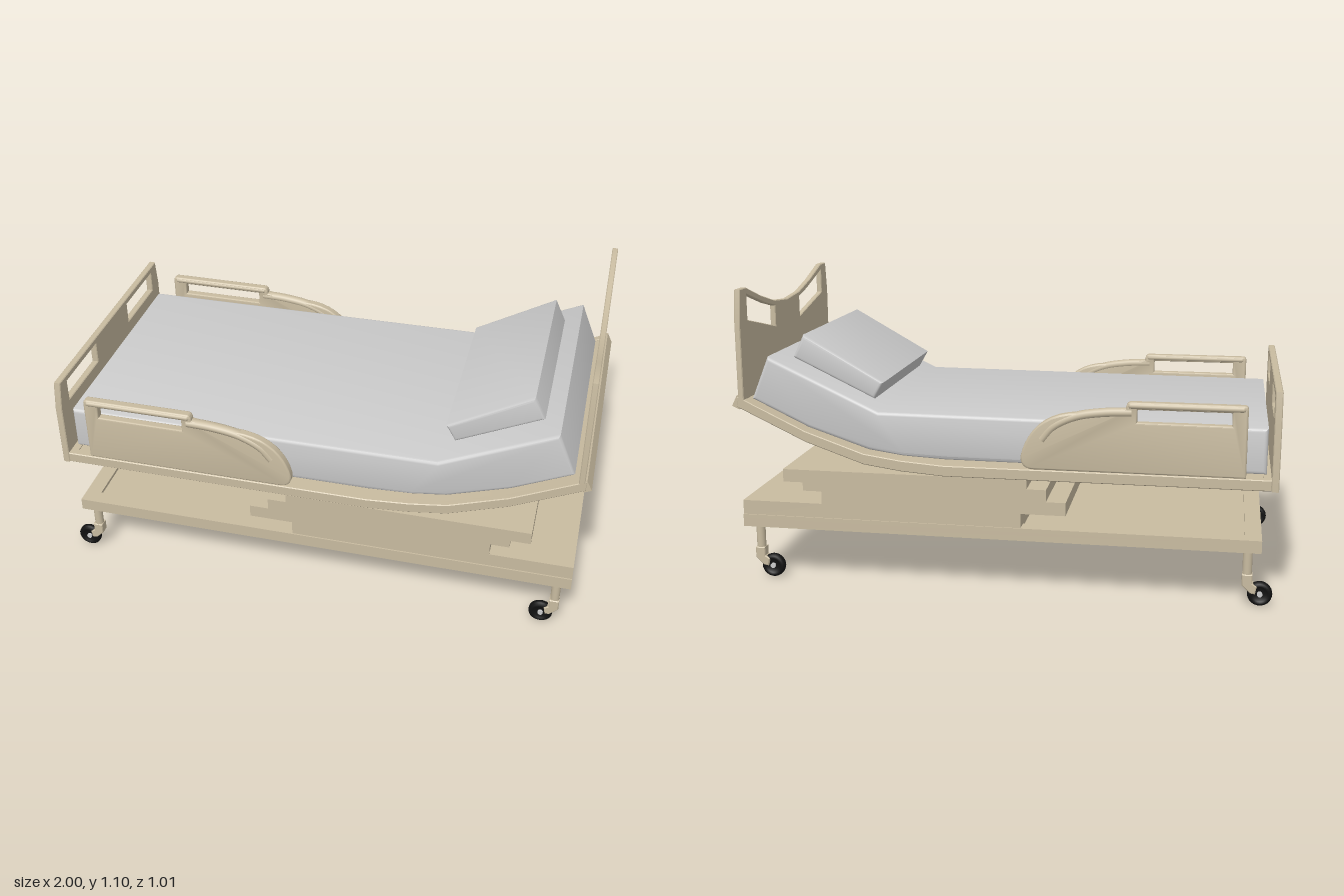
import * as THREE from 'three';
import { toCreasedNormals } from 'three/addons/utils/BufferGeometryUtils.js';

const tan = new THREE.MeshStandardMaterial({ color: 0xc8bba0 });
const grey = new THREE.MeshStandardMaterial({ color: 0xcccccc });
const black = new THREE.MeshStandardMaterial({ color: 0x111111 });

const toShape = (pts) => new THREE.Shape(pts.map(([x, y]) => new THREE.Vector2(x, y)));

// Extrude a side profile along z, centred, with a bevel kept inside the outline
function slab(shape, width, bevel = 0, segments = 1) {
  const g = new THREE.ExtrudeGeometry(shape, {
    depth: width - 2 * bevel, bevelEnabled: bevel > 0, bevelThickness: bevel,
    bevelSize: bevel, bevelOffset: -bevel, bevelSegments: segments, curveSegments: 10,
  });
  g.translate(0, 0, -width / 2 + bevel);
  return toCreasedNormals(g, 0.6);
}

function add(parent, name, geometry, material, x = 0, y = 0, z = 0) {
  const m = new THREE.Mesh(geometry, material);
  m.name = name;
  m.position.set(x, y, z);
  parent.add(m);
  return m;
}

// Box given by its limits in x and y, and centre and width in z
function bar(parent, name, x0, x1, y0, y1, z, width) {
  return add(parent, name, new THREE.BoxGeometry(x1 - x0, y1 - y0, width), tan, (x0 + x1) / 2, (y0 + y1) / 2, z);
}

// End board drawn as half an outline in (z, y), mirrored, with a grip hole on each side
function endBoard(parent, name, half, hole, x, thickness) {
  const mirror = (pts) => pts.map(([z, y]) => [-z, y]).reverse();
  const shape = toShape([...half, ...mirror(half)]);
  shape.holes.push(toShape(hole), toShape(mirror(hole)));
  add(parent, name, slab(shape, thickness, 0.003).rotateY(-Math.PI / 2), tan, x);
}

function caster(x, z) {
  const g = new THREE.Group();
  g.name = 'caster';
  g.position.set(x, 0, z);
  add(g, 'casterStem', new THREE.CylinderGeometry(0.017, 0.017, 0.1, 16), tan, 0, 0.16, 0);
  const fork = [[-0.019, 0.118], [-0.019, 0.085], [-0.036, 0.074], [-0.03, 0.045], [-0.012, 0.048], [0.018, 0.078], [0.018, 0.118]];
  add(g, 'casterFork', slab(toShape(fork), 0.038, 0.003), tan);
  // Tyre with rounded tread and a dished face
  const r = [[0.008, -0.008], [0.024, -0.008], [0.028, -0.014], [0.038, -0.014], [0.044, -0.008],
    [0.045, 0], [0.044, 0.008], [0.038, 0.014], [0.028, 0.014], [0.024, 0.008], [0.008, 0.008]];
  const tyre = new THREE.LatheGeometry(r.map((p) => new THREE.Vector2(...p)), 28).rotateX(Math.PI / 2);
  add(g, 'wheel', tyre, black, -0.047, 0.045, 0);
  add(g, 'wheelHub', new THREE.CylinderGeometry(0.01, 0.01, 0.032, 14).rotateX(Math.PI / 2), grey, -0.047, 0.045, 0);
  return g;
}

function sideRail(side) {
  const g = new THREE.Group();
  g.name = side > 0 ? 'leftSideRail' : 'rightSideRail';
  // Panel with a curved end and a grip slot
  const s = new THREE.Shape();
  s.moveTo(-0.885, 0.475);
  s.lineTo(-0.125, 0.475);
  s.quadraticCurveTo(-0.08, 0.48, -0.085, 0.525);
  s.bezierCurveTo(-0.1, 0.6, -0.16, 0.69, -0.3, 0.69);
  s.lineTo(-0.46, 0.71);
  s.quadraticCurveTo(-0.46, 0.735, -0.48, 0.735);
  s.lineTo(-0.87, 0.735);
  s.quadraticCurveTo(-0.885, 0.735, -0.885, 0.72);
  s.closePath();
  s.holes.push(toShape([[-0.83, 0.662], [-0.5, 0.662], [-0.5, 0.708], [-0.83, 0.708]]));
  add(g, 'railPanel', slab(s, 0.034, 0.007, 3), tan, 0, 0, side * 0.484);
  // Hand grip along the top and the sloping arm beyond it
  const grip = new THREE.CapsuleGeometry(0.014, 0.39, 4, 12).rotateZ(Math.PI / 2).scale(1, 1, 1.5);
  add(g, 'railGrip', grip, tan, -0.672, 0.721, side * 0.485);
  const path = new THREE.CatmullRomCurve3([[-0.48, 0.695], [-0.38, 0.69], [-0.28, 0.672], [-0.2, 0.632], [-0.16, 0.585]]
    .map(([x, y]) => new THREE.Vector3(x, y, 0)));
  add(g, 'railArm', new THREE.TubeGeometry(path, 24, 0.018, 10).scale(1, 1, 1.15), tan, 0, 0, side * 0.485);
  return g;
}

export function createModel() {
  const bed = new THREE.Group();
  bed.name = 'adjustableBed';

  // Wheeled base: plate with a raised rim
  bar(bed, 'basePlate', -0.95, 0.975, 0.205, 0.24, 0, 1.01);
  for (const s of [-1, 1]) bar(bed, 'baseSideRim', -0.95, 0.975, 0.238, 0.252, s * 0.475, 0.06);
  bar(bed, 'baseFootRim', -0.95, -0.89, 0.238, 0.252, 0, 0.9);
  bar(bed, 'baseHeadRim', 0.915, 0.975, 0.238, 0.252, 0, 0.9);
  for (const x of [-0.903, 0.922]) for (const z of [-0.47, 0.47]) bed.add(caster(x, z));

  // Stepped lifting body
  const lift = [[-0.085, 0.24], [0.975, 0.24], [0.975, 0.306], [0.667, 0.306], [0.667, 0.354], [0.738, 0.354],
    [0.738, 0.386], [0.813, 0.386], [0.813, 0.434], [-0.107, 0.434], [-0.107, 0.4], [-0.178, 0.4],
    [-0.178, 0.355], [-0.25, 0.355], [-0.25, 0.306], [-0.085, 0.306]];
  add(bed, 'liftBody', slab(toShape(lift), 1), tan);

  // Deck: curved panel between two side beams and end bars
  const path = [[-0.975, 0.434], [0.2, 0.434], [0.36, 0.446], [0.5, 0.466], [0.72, 0.542], [0.98, 0.665]];
  const band = (lo, hi) => toShape([...path.map(([x, y]) => [x, y + lo]), ...path.map(([x, y]) => [x, y + hi]).reverse()]);
  add(bed, 'deckPanel', slab(band(0.016, 0.036), 0.96), tan);
  for (const s of [-1, 1]) add(bed, 'deckSideBeam', slab(band(0, 0.04), 0.03, 0.003), tan, 0, 0, s * 0.487);
  bar(bed, 'deckFootBar', -0.975, -0.945, 0.434, 0.474, 0, 0.96);
  bar(bed, 'deckHeadBar', -0.015, 0.015, -0.022, 0.022, 0, 1).position.set(0.976, 0.682, 0);
  bed.children.at(-1).rotation.z = 0.45;

  // Mattress and pillow
  const mattress = [[-0.957, 0.483], [0.2, 0.486], [0.36, 0.494], [0.49, 0.512], [0.72, 0.588], [0.935, 0.69],
    [0.87, 0.85], [0.45, 0.657], [-0.957, 0.65]];
  add(bed, 'mattress', slab(toShape(mattress), 0.925, 0.014, 3), grey, 0, 0, -0.004);
  const pillow = [[0.495, 0.682], [0.808, 0.832], [0.767, 0.918], [0.459, 0.745]];
  add(bed, 'pillow', slab(toShape(pillow), 0.71, 0.012, 3), grey, 0, 0, -0.004);

  // End boards
  endBoard(bed, 'headboard',
    [[0.503, 0.69], [0.503, 0.98], [0.487, 1.1], [0.425, 1.1], [0.28, 1.052], [0.14, 1.016], [0.001, 1.004]],
    [[0.425, 1.075], [0.24, 1.018], [0.14, 0.995], [0.14, 0.915], [0.425, 0.98]], 0.963, 0.022);
  endBoard(bed, 'footboard',
    [[0.503, 0.432], [0.503, 0.68], [0.487, 0.787], [0.001, 0.787]],
    [[0.43, 0.762], [0.16, 0.762], [0.16, 0.68], [0.43, 0.68]], -0.987, 0.026);

  // Side rails
  for (const s of [-1, 1]) bed.add(sideRail(s));
  return bed;
}
